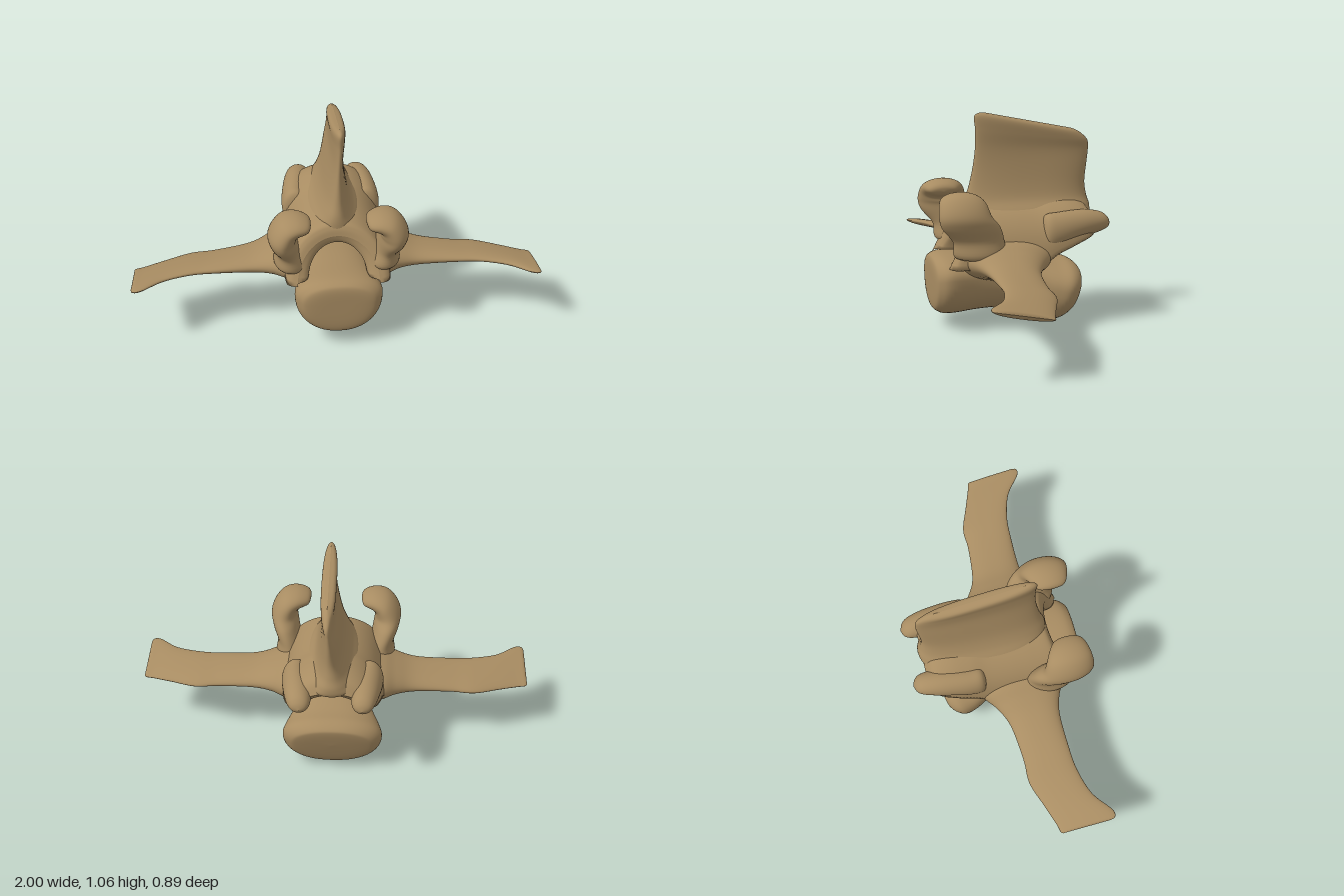
import * as THREE from 'three';

const bone = new THREE.MeshStandardMaterial({ color: 0xa88c62 });
bone.name = 'bone';

// Catmull-Rom interpolation of numeric rows
function smoothRows(rows, steps) {
  const out = [];
  for (let i = 0; i < rows.length - 1; i++) {
    const p0 = rows[Math.max(i - 1, 0)], p1 = rows[i];
    const p2 = rows[i + 1], p3 = rows[Math.min(i + 2, rows.length - 1)];
    for (let s = 0; s < steps; s++) {
      const t = s / steps;
      out.push(p1.map((b, k) => {
        const a = p0[k], c = p2[k], d = p3[k];
        return b + 0.5 * t * (c - a + t * (2 * a - 5 * b + 4 * c - d + t * (3 * (b - c) + d - a)));
      }));
    }
  }
  out.push(rows[rows.length - 1]);
  return out;
}

// Closed skin over rings: place(row, angle) gives a point; end rows collapse to close it
function loft(name, rows, place, sides = 48, steps = 6) {
  const rings = smoothRows(rows, steps), pos = [], idx = [];
  for (const r of rings)
    for (let j = 0; j < sides; j++) pos.push(...place(r, (j / sides) * Math.PI * 2));
  for (let i = 0; i < rings.length - 1; i++)
    for (let j = 0; j < sides; j++) {
      const a = i * sides + j, b = i * sides + (j + 1) % sides;
      idx.push(a, b, a + sides, b, b + sides, a + sides);
    }
  // Turn the faces outward
  const v = (i) => new THREE.Vector3().fromArray(pos, i * 3);
  let volume = 0;
  for (let i = 0; i < idx.length; i += 3) volume += v(idx[i]).dot(v(idx[i + 1]).cross(v(idx[i + 2])));
  if (volume < 0) idx.reverse();
  const g = new THREE.BufferGeometry();
  g.setAttribute('position', new THREE.Float32BufferAttribute(pos, 3));
  g.setIndex(idx);
  g.computeVertexNormals();
  const mesh = new THREE.Mesh(g, bone);
  mesh.name = name;
  return mesh;
}

const pw = (v, e) => Math.sign(v) * Math.abs(v) ** e;

export function createModel() {
  const group = new THREE.Group();
  group.name = 'vertebra';

  // Vertebral body: z, top, widest height, bottom, half width, lean
  group.add(loft('vertebralBody', [
    [0.445, 0.24, 0.24, 0.24, 0, 0],
    [0.442, 0.33, 0.25, 0.12, 0.14, 0],
    [0.42, 0.36, 0.26, 0.08, 0.19, 0],
    [0.36, 0.37, 0.27, 0.065, 0.215, 0],
    [0.22, 0.36, 0.26, 0.075, 0.19, 0],
    [0.1, 0.35, 0.25, 0.075, 0.18, 0],
    [-0.05, 0.33, 0.22, 0.05, 0.195, -0.1],
    [-0.15, 0.31, 0.19, 0.015, 0.235, -0.25],
    [-0.22, 0.305, 0.18, 0.0, 0.25, -0.3],
    [-0.27, 0.28, 0.17, 0.025, 0.215, -0.3],
    [-0.285, 0.25, 0.17, 0.06, 0.16, -0.3],
    [-0.29, 0.17, 0.17, 0.17, 0, -0.3],
  ], ([z, top, mid, bot, w, lean], a) => {
    const s = pw(Math.sin(a), 0.9);
    const dy = s > 0 ? (top - mid) * s : (mid - bot) * s;
    return [w * pw(Math.cos(a), 0.9), mid + dy, z + lean * dy];
  }));

  // Horseshoe arch over the canal: z, half width, base, roof, half thickness, front notch
  group.add(loft('neuralArch', [
    [0.385, 0.2, 0.33, 0.54, 0, 0.11],
    [0.375, 0.2, 0.33, 0.54, 0.035, 0.11],
    [0.34, 0.2, 0.33, 0.545, 0.055, 0.1],
    [0.22, 0.2, 0.33, 0.55, 0.06, 0.06],
    [0.08, 0.2, 0.33, 0.555, 0.06, 0],
    [-0.06, 0.2, 0.33, 0.56, 0.06, 0],
    [-0.15, 0.19, 0.38, 0.57, 0.06, 0],
    [-0.25, 0.18, 0.42, 0.575, 0.055, 0],
    [-0.33, 0.165, 0.45, 0.56, 0.045, 0],
    [-0.37, 0.16, 0.47, 0.55, 0, 0],
  ], ([z, w, base, top, t, notch], a) => {
    const outer = a <= Math.PI, b = outer ? a : 2 * Math.PI - a;
    const d = outer ? t : -t, s = Math.sin(b);
    return [(w + d) * Math.cos(b), base + (top - base + d) * s, z - notch * s];
  }, 64));

  // Upright spine blade: y, front z, back z, half thickness, sideways drift, crest slope
  group.add(loft('spineBlade', [
    [0.52, 0.2, -0.34, 0, 0, 0],
    [0.54, 0.26, -0.38, 0.15, 0, 0],
    [0.58, 0.265, -0.385, 0.125, 0, 0],
    [0.63, 0.26, -0.37, 0.088, 0, 0],
    [0.7, 0.24, -0.36, 0.062, 0.005, 0],
    [0.8, 0.22, -0.37, 0.042, 0.01, 0],
    [0.88, 0.21, -0.375, 0.032, 0.015, 0.05],
    [0.95, 0.21, -0.37, 0.034, 0.02, 0.12],
    [1.0, 0.215, -0.34, 0.036, 0.02, 0.18],
    [1.02, 0.19, -0.31, 0.025, 0.02, 0.2],
    [1.026, 0.16, -0.28, 0, 0.02, 0.2],
  ], ([y, zf, zb, t, off, slope], a) => {
    const z = (zf + zb) / 2 + ((zf - zb) / 2) * pw(Math.cos(a), 0.75);
    return [off + t * pw(Math.sin(a), 0.9), y + slope * z, z];
  }));

  for (const side of [1, -1]) {
    const label = side > 0 ? 'left' : 'right';

    // Wing: x, front z, back z, height, half thickness, tilt
    group.add(loft(label + 'Wing', [
      [0.16, 0.33, -0.1, 0.36, 0, 0],
      [0.18, 0.33, -0.13, 0.36, 0.1, 0],
      [0.25, 0.31, -0.11, 0.36, 0.088, 0],
      [0.32, 0.27, -0.055, 0.35, 0.066, 0.03],
      [0.42, 0.245, -0.01, 0.335, 0.046, 0.08],
      [0.6, 0.245, 0.01, 0.325, 0.032, 0.15],
      [0.72, 0.255, 0.01, 0.32, 0.027, 0.18],
      [0.85, 0.295, 0.055, 0.315, 0.023, 0.2],
      [0.95, 0.37, 0.09, 0.312, 0.02, 0.2],
      [0.99, 0.375, 0.1, 0.31, 0.016, 0.2],
      [1.0, 0.35, 0.11, 0.31, 0, 0.2],
    ], ([x, zf, zb, y, h, tilt], a) => {
      const dz = ((zf - zb) / 2) * pw(Math.cos(a), 0.85);
      return [side * x, y + h * Math.sin(a) + tilt * dz, (zf + zb) / 2 + dz];
    }));

    // Front joint hook: x, y, z, half thickness, half depth, turn
    group.add(loft(label + 'FrontJointHook', [
      [0.22, 0.37, 0.24, 0, 0, 0],
      [0.225, 0.39, 0.24, 0.08, 0.12, 0],
      [0.24, 0.47, 0.25, 0.062, 0.125, 0],
      [0.262, 0.54, 0.29, 0.066, 0.14, 0],
      [0.268, 0.59, 0.318, 0.068, 0.127, 0.2],
      [0.24, 0.64, 0.325, 0.06, 0.115, 0.85],
      [0.2, 0.657, 0.33, 0.048, 0.1, 1.4],
      [0.16, 0.655, 0.335, 0.036, 0.08, 1.8],
      [0.14, 0.65, 0.335, 0.022, 0.055, 1.9],
      [0.133, 0.648, 0.335, 0, 0, 1.9],
    ], ([x, y, z, r, d, turn], a) => {
      const c = r * Math.cos(a);
      return [side * (x + c * Math.cos(turn)), y + c * Math.sin(turn), z + d * Math.sin(a)];
    }));

    // Rear joint lobe: z, x, y, half width, half height
    group.add(loft(label + 'RearJointLobe', [
      [-0.08, 0.18, 0.47, 0, 0],
      [-0.1, 0.18, 0.47, 0.06, 0.09],
      [-0.17, 0.18, 0.485, 0.07, 0.09],
      [-0.3, 0.165, 0.51, 0.068, 0.07],
      [-0.39, 0.155, 0.515, 0.056, 0.05],
      [-0.43, 0.152, 0.51, 0.035, 0.028],
      [-0.445, 0.15, 0.505, 0, 0],
    ], ([z, x, y, rx, ry], a) => [side * (x + rx * Math.cos(a)), y + ry * Math.sin(a), z]));
  }
  return group;
}
